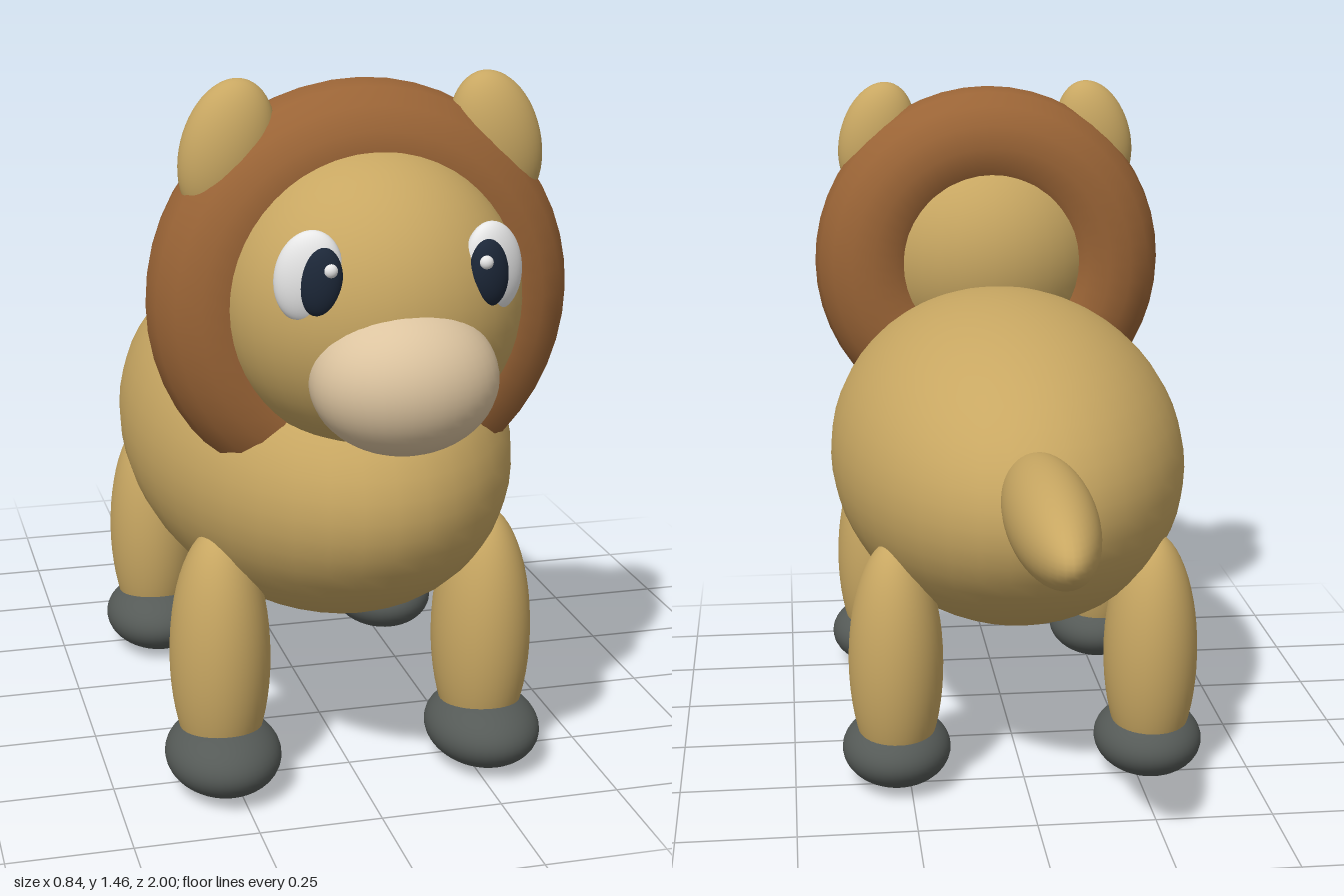
import * as THREE from 'three';

const mat = (name, color) => {
  const m = new THREE.MeshStandardMaterial({ color });
  m.name = name;
  return m;
};

export function createModel() {
  const model = new THREE.Group();
  model.name = 'lion';
  const fur = mat('tan fur', 0xc8a762);
  const maneBrown = mat('mane brown', 0x9a6436);
  const cream = mat('muzzle cream', 0xdcc4a0);
  const grey = mat('paw grey', 0x555a57);
  const white = mat('eye white', 0xf2f2f2);
  const navy = mat('pupil navy', 0x1c2738);

  // All soft parts are ellipsoids
  const unit = new THREE.SphereGeometry(1, 40, 28);
  const blob = (name, material, pos, radii, rot = [0, 0, 0]) => {
    const mesh = new THREE.Mesh(unit, material);
    mesh.name = name;
    mesh.position.set(...pos);
    mesh.scale.set(...radii);
    mesh.rotation.set(...rot);
    model.add(mesh);
    return mesh;
  };

  // Body, tail and head
  blob('body', fur, [0, 0.65, 0.14], [0.4, 0.36, 0.69]);
  blob('tail', fur, [0, 0.72, -0.67], [0.088, 0.1, 0.33]);
  blob('head', fur, [0, 1.04, 0.62], [0.29, 0.29, 0.29]);
  blob('muzzle', cream, [0, 0.94, 0.85], [0.176, 0.14, 0.15]);

  // Mane ring around the head
  const mane = new THREE.Mesh(new THREE.TorusGeometry(0.284, 0.136, 16, 48), maneBrown);
  mane.name = 'mane';
  mane.position.set(0, 1.028, 0.535);
  model.add(mane);

  for (const s of [1, -1]) {
    const side = s > 0 ? 'left' : 'right';

    // Ears lean inwards
    blob(side + 'Ear', fur, [s * 0.265, 1.32, 0.563], [0.09, 0.14, 0.067], [0, 0, s * 0.25]);

    // Eyes, turned outwards
    blob(side + 'Eye', white, [s * 0.174, 1.135, 0.825], [0.062, 0.086, 0.034], [0, s * 0.35, s * 0.2]);
    blob(side + 'Pupil', navy, [s * 0.158, 1.13, 0.85], [0.04, 0.064, 0.026], [0, s * 0.3, s * 0.1]);
    blob(side + 'Glint', white, [s * 0.145, 1.154, 0.872], [0.013, 0.013, 0.011]);

    // Legs and paws
    for (const [end, z] of [['Front', 0.515], ['Back', -0.248]]) {
      blob(side + end + 'Leg', fur, [s * 0.278, 0.285, z], [0.102, 0.27, 0.116]);
      blob(side + end + 'Paw', grey, [s * 0.278, 0.079, z + 0.022], [0.118, 0.078, 0.145]);
    }
  }
  return model;
}
